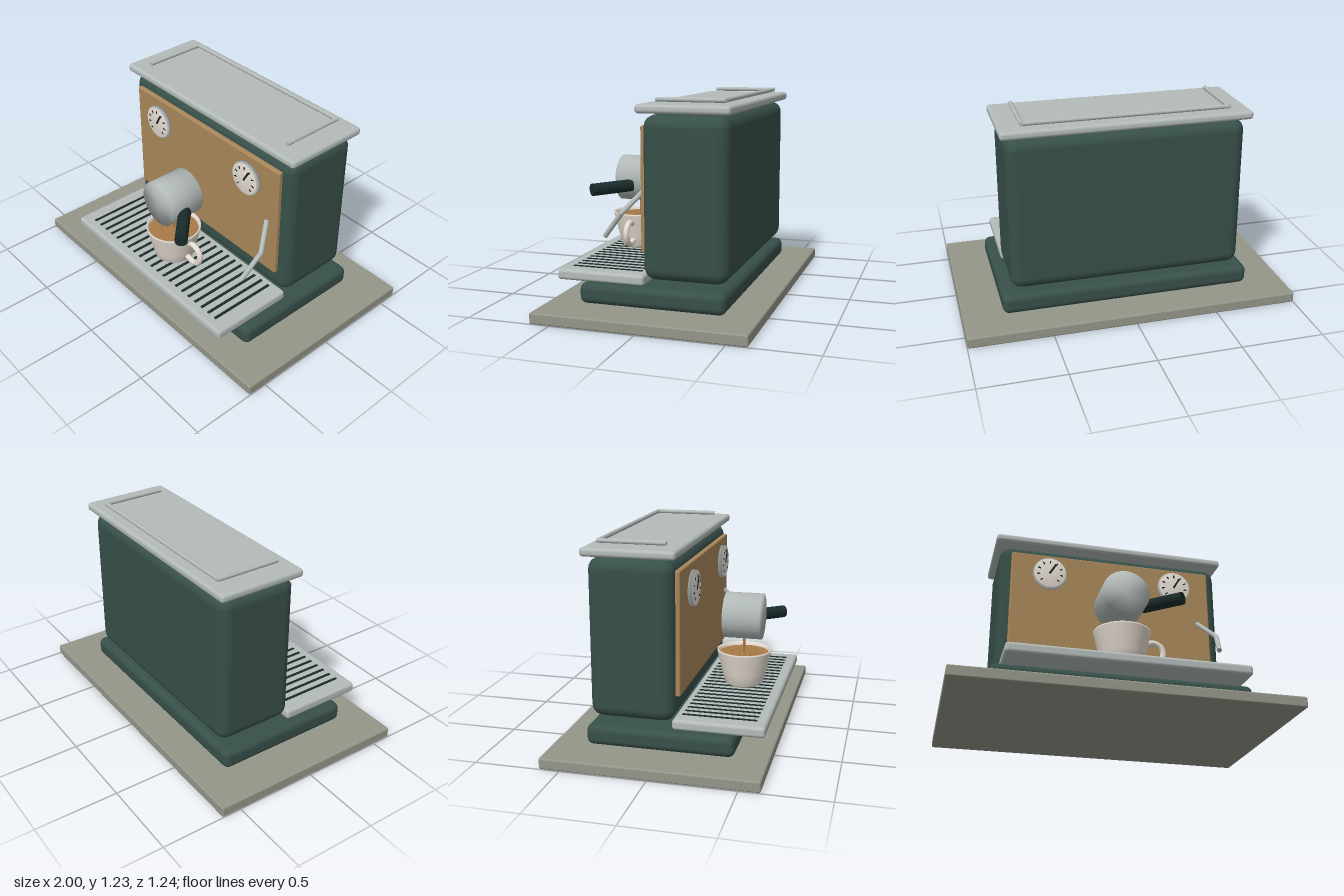
import * as THREE from 'three';
import { mergeVertices } from 'three/addons/utils/BufferGeometryUtils.js';
import { RoundedBoxGeometry } from 'three/addons/geometries/RoundedBoxGeometry.js';

const paint = (name, color, side = THREE.FrontSide) => {
  const m = new THREE.MeshStandardMaterial({ color, side });
  m.name = name;
  return m;
};

export function createModel() {
  const root = new THREE.Group();
  root.name = 'espressoMachine';
  const green = paint('dark green enamel', 0x38504a);
  const silver = paint('brushed steel', 0xb3bbb9);
  const stone = paint('stone counter', 0x959689);
  const wood = paint('warm wood', 0xa9875a);
  const black = paint('near black', 0x1a2a2a);
  const cream = paint('cream ceramic', 0xebe2d7, THREE.DoubleSide);
  const coffee = paint('coffee', 0xa97b48);

  const add = (name, geo, mat, x = 0, y = 0, z = 0, parent = root) => {
    const mesh = new THREE.Mesh(geo, mat);
    mesh.name = name;
    mesh.position.set(x, y, z);
    parent.add(mesh);
    return mesh;
  };

  // Rounded slab given by its half width and its y and z ranges
  const slab = (name, mat, hx, y0, y1, z0, z1, r, seg = 3) =>
    add(name, new RoundedBoxGeometry(hx * 2, y1 - y0, z1 - z0, seg, r), mat,
      0, (y0 + y1) / 2, (z0 + z1) / 2);

  // Normals blended over the rims
  const soften = (geo) => {
    geo.deleteAttribute('uv');
    geo.deleteAttribute('normal');
    const g = mergeVertices(geo, 1e-4);
    g.computeVertexNormals();
    return g;
  };

  // Round bar between two points
  const bar = (name, mat, a, b, r, sides = 12) => {
    const p = new THREE.Vector3(...a), q = new THREE.Vector3(...b);
    const dir = q.clone().sub(p);
    const mid = p.clone().add(q).multiplyScalar(0.5);
    const mesh = add(name, new THREE.CylinderGeometry(r, r, dir.length(), sides), mat, mid.x, mid.y, mid.z);
    mesh.quaternion.setFromUnitVectors(new THREE.Vector3(0, 1, 0), dir.normalize());
    return mesh;
  };

  // Main housing
  slab('counter', stone, 1, 0, 0.065, -0.62, 0.62, 0.01);
  slab('base', green, 0.762, 0.065, 0.185, -0.43, 0.43, 0.04);
  slab('body', green, 0.705, 0.213, 1.14, -0.425, 0.07, 0.07);
  slab('frontPanel', wood, 0.637, 0.355, 1.077, 0.06, 0.096, 0.01);
  slab('topTray', silver, 0.735, 1.15, 1.2, -0.447, 0.095, 0.02);
  slab('dripTray', silver, 0.702, 0.178, 0.241, 0.06, 0.59, 0.02);

  // Drip tray slots
  for (let i = 0; i <= 20; i++) {
    add('traySlot', new THREE.BoxGeometry(0.018, 0.005, 0.43), black, -0.6 + i * 0.06, 0.2415, 0.315);
  }

  // Cup rail on the top
  const railY = 1.221, railX = 0.603, railBack = -0.378;
  bar('railBack', silver, [-railX, railY, railBack], [railX, railY, railBack], 0.013);
  for (const s of [-1, 1]) {
    bar('railSide', silver, [s * railX, railY, railBack - 0.008], [s * railX, railY, 0.012], 0.013);
  }

  // Pressure gauges
  for (const s of [-1, 1]) {
    const gauge = new THREE.Group();
    gauge.name = 'gauge';
    gauge.position.set(s * 0.4, 0.935, 0);
    root.add(gauge);
    const bezel = soften(new THREE.CylinderGeometry(0.105, 0.105, 0.024, 32).rotateX(Math.PI / 2));
    add('bezel', bezel, silver, 0, 0, 0.118, gauge);
    const dial = soften(new THREE.CylinderGeometry(0.098, 0.098, 0.012, 32).rotateX(Math.PI / 2));
    add('dial', dial, cream, 0, 0, 0.129, gauge);
    for (let i = 0; i < 9; i++) {
      const a = -Math.PI * 0.75 + i * Math.PI * 1.5 / 8;
      const tick = add('tick', new THREE.BoxGeometry(0.007, 0.018, 0.004), black,
        Math.sin(a) * 0.073, Math.cos(a) * 0.073, 0.136, gauge);
      tick.rotation.z = -a;
    }
    const needle = add('needle', new THREE.BoxGeometry(0.012, 0.078, 0.005), black, 0.016, 0.027, 0.137, gauge);
    needle.rotation.z = -0.53;
  }

  // Brewing head and its handle
  const head = soften(new THREE.CylinderGeometry(0.141, 0.141, 0.229, 40).rotateX(Math.PI / 2));
  add('brewHead', head, silver, 0, 0.684, 0.339);
  bar('brewHandle', black, [0.125, 0.653, 0.352], [0.315, 0.643, 0.536], 0.038, 14);
  bar('coffeeStream', coffee, [0, 0.44, 0.34], [0, 0.56, 0.34], 0.007, 8);

  // Steam wand
  const wand = [[0.555, 0.71, 0.095], [0.635, 0.578, 0.212], [0.605, 0.432, 0.328]];
  bar('wandUpper', silver, wand[0], wand[1], 0.015);
  bar('wandLower', silver, wand[1], wand[2], 0.015);
  add('wandBend', new THREE.SphereGeometry(0.015, 12, 8), silver, ...wand[1]);

  // Cup
  const cup = new THREE.Group();
  cup.name = 'cup';
  cup.position.set(0, 0.248, 0.342);
  root.add(cup);
  const profile = [[0, 0], [0.1, 0], [0.12, 0.018], [0.135, 0.08], [0.168, 0.215], [0.169, 0.223],
    [0.16, 0.224], [0.154, 0.21], [0.12, 0.08], [0.1, 0.03], [0, 0.025]]
    .map(([x, y]) => new THREE.Vector2(x, y));
  add('cupBowl', new THREE.LatheGeometry(profile, 40), cream, 0, 0, 0, cup);
  add('coffeeSurface', new THREE.CylinderGeometry(0.152, 0.15, 0.008, 40), coffee, 0, 0.198, 0, cup);
  for (const r of [0.04, 0.08]) {
    add('ripple', new THREE.TorusGeometry(r, 0.003, 6, 32).rotateX(Math.PI / 2), coffee, 0, 0.202, 0, cup);
  }
  const loop = new THREE.CatmullRomCurve3([[0.145, 0.165], [0.19, 0.178], [0.235, 0.155], [0.248, 0.11],
    [0.228, 0.065], [0.19, 0.044], [0.125, 0.055]].map(([x, y]) => new THREE.Vector3(x, y, 0)));
  add('cupHandle', new THREE.TubeGeometry(loop, 28, 0.018, 10), cream, 0, 0, 0, cup);

  return root;
}
